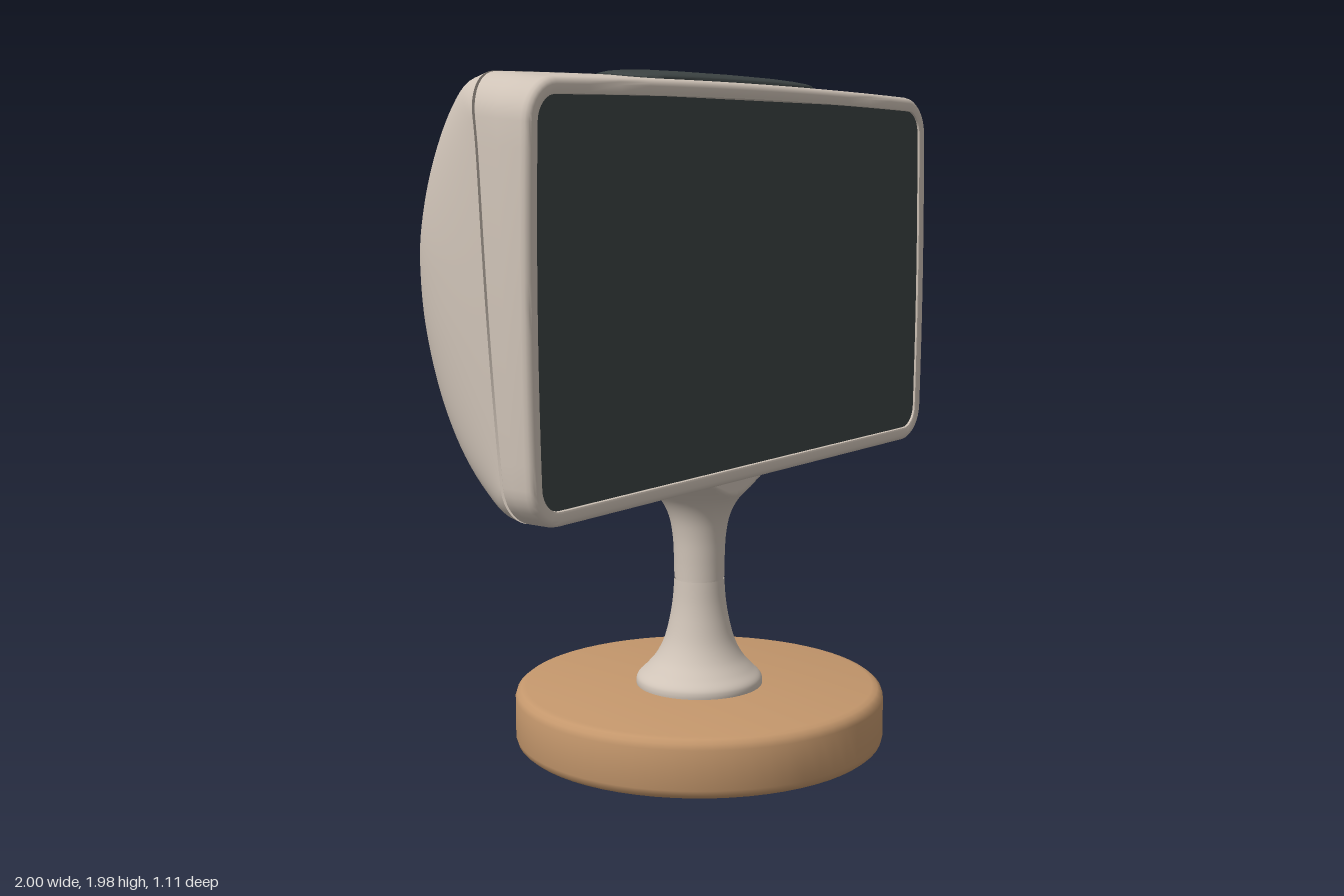
import * as THREE from 'three';
import { toCreasedNormals } from 'three/addons/utils/BufferGeometryUtils.js';

const HX = 0.998, BOTTOM = 0.82, TOP = 1.965;
const MID = (TOP + BOTTOM) / 2, HY = (TOP - BOTTOM) / 2, R = 0.11;

// Rounded rectangle points, anticlockwise, with subdivided straight sides
function roundedRect(hx, hy, r, arc = 8, side = 14) {
  const corners = [[1, 1], [-1, 1], [-1, -1], [1, -1]];
  const pts = [];
  corners.forEach(([sx, sy], q) => {
    for (let k = 0; k <= arc; k++) {
      const a = (q + k / arc) * Math.PI / 2;
      pts.push(new THREE.Vector2(sx * (hx - r) + r * Math.cos(a), sy * (hy - r) + r * Math.sin(a)));
    }
    const [nx, ny] = corners[(q + 1) % 4];
    const a = (q + 1) * Math.PI / 2;
    const end = new THREE.Vector2(nx * (hx - r) + r * Math.cos(a), ny * (hy - r) + r * Math.sin(a));
    const start = pts[pts.length - 1].clone();
    for (let k = 1; k < side; k++) pts.push(start.clone().lerp(end, k / side));
  });
  return pts;
}

// Skin over rows of points
function loft(rows, closed) {
  const n = rows[0].length, index = [];
  for (let i = 0; i < rows.length - 1; i++) {
    for (let j = 0; j < (closed ? n : n - 1); j++) {
      const k = (j + 1) % n;
      const a = i * n + j, b = i * n + k, c = b + n, d = a + n;
      index.push(a, b, c, a, c, d);
    }
  }
  const g = new THREE.BufferGeometry().setFromPoints(rows.flat());
  g.setIndex(index);
  g.computeVertexNormals();
  return g;
}

// Slanted parting line between frame and back shell
function seamZ(y) {
  const t = (y - BOTTOM) / (TOP - BOTTOM);
  return 0.11 - 0.08 * t - 0.03 * Math.pow(Math.max(t, 0), 14);
}

// Gentle barrel of the sides and crown of the top
function place(x, y, z) {
  const v = (y - MID) / HY;
  return new THREE.Vector3(
    x * (1 - 0.014 * v * v),
    BOTTOM + (y - BOTTOM) * (1 - 0.013 * x * x - 0.085 * Math.max(z, 0)),
    z
  );
}

function frameGeometry() {
  // [inset, z]; null z follows the parting line
  const steps = [[0.009, null, 0], [0, null, 0.009], [0, 0.1, 0.5], [0, 0.185], [0.003, 0.196],
    [0.01, 0.203], [0.018, 0.205], [0.036, 0.205], [0.042, 0.203], [0.045, 0.194]];
  const rows = steps.map(([inset, z, extra]) =>
    roundedRect(HX - inset, HY - inset, R - inset).map((p) => {
      const y = p.y + MID, s = seamZ(y);
      let pz = z;
      if (z === null) pz = s + extra;
      else if (extra) pz = s + (0.185 - s) * extra;
      return place(p.x, y, pz);
    }));
  return toCreasedNormals(loft(rows, true), 0.75);
}

function backGeometry() {
  // Side profile as [z, y], bottom to top
  const profile = new THREE.CatmullRomCurve3([
    [0.11, 0.82], [0.04, 0.835], [-0.05, 0.885], [-0.15, 0.97], [-0.24, 1.1], [-0.31, 1.29],
    [-0.33, 1.44], [-0.325, 1.55], [-0.28, 1.7], [-0.2, 1.84], [-0.1, 1.935], [0, 1.965],
  ].map(([z, y]) => new THREE.Vector3(0, y, z))).getSpacedPoints(56);
  const rows = [], N = 80;
  for (let i = 0; i <= N; i++) {
    const u = Math.sin((i / N - 0.5) * Math.PI);
    const x = u * HX;
    const depth = Math.pow(Math.max(0, 1 - Math.pow(Math.abs(u), 10)), 0.56);
    const over = Math.max(0, Math.abs(x) - (HX - R));
    const h = HY - R + Math.sqrt(Math.max(0, R * R - over * over));
    rows.push(profile.map((p) => {
      const y = MID + (p.y - MID) * h / HY;
      return place(x, y, seamZ(y) + (p.z - seamZ(p.y)) * depth);
    }));
  }
  return loft(rows, false);
}

// Domed strip following the crown of the housing
function sensorGeometry() {
  const steps = [[1, -0.012], [1, 0.003], [0.985, 0.007], [0.93, 0.011], [0.8, 0.015],
    [0.6, 0.018], [0.3, 0.019], [0, 0.019]];
  const outline = roundedRect(0.435, 0.117, 0.07);
  const rows = steps.map(([s, lift]) => outline.map((p) => {
    const x = p.x * s, z = 0.028 - p.y * s;
    const y = z > 0 ? TOP - 0.1 * z : TOP - 3 * z * z;
    return new THREE.Vector3(x, y - 0.014 * x * x + lift, z);
  }));
  return toCreasedNormals(loft(rows, true), 0.9);
}

function lathe(points, smooth) {
  const pts = points.map(([r, y]) => new THREE.Vector2(r, y));
  const path = smooth ? new THREE.SplineCurve(pts).getPoints(points.length * 5) : pts;
  path.forEach((p) => { p.x = Math.max(0, p.x); });
  return new THREE.LatheGeometry(path, 64);
}

export function createModel() {
  const group = new THREE.Group();
  const material = (name, color, side = THREE.FrontSide) => {
    const m = new THREE.MeshStandardMaterial({ color, side });
    m.name = name;
    return m;
  };
  const shell = material('warm grey plastic', 0xd0c4b8, THREE.DoubleSide);
  const dark = material('dark glass', 0x3c4343, THREE.DoubleSide);
  const wood = material('light wood', 0xc4976c);
  const add = (name, geometry, mat) => {
    const mesh = new THREE.Mesh(geometry, mat);
    mesh.name = name;
    group.add(mesh);
    return mesh;
  };

  // Display housing
  add('frontFrame', frameGeometry(), shell);
  add('backShell', backGeometry(), shell);
  add('topSensor', sensorGeometry(), dark);

  // Screen panel tucked behind the frame lip
  const screen = new THREE.ShapeGeometry(new THREE.Shape(roundedRect(0.956, 0.519, 0.06)));
  add('screen', screen, dark).position.set(0, 1.381, 0.197);

  // Upper neck swelling into the rear hinge bulge, flattened at the front
  const neck = lathe([[0.075, 0.502], [0.076, 0.56], [0.08, 0.63], [0.092, 0.69], [0.118, 0.74],
    [0.162, 0.785], [0.21, 0.825], [0.248, 0.875], [0.264, 0.94], [0.266, 1.03], [0.262, 1.12],
    [0.24, 1.2], [0.15, 1.27], [0, 1.29]], true);
  const pos = neck.attributes.position;
  for (let i = 0; i < pos.count; i++) pos.setZ(i, Math.min(pos.getZ(i), 0.14));
  neck.computeVertexNormals();
  add('upperNeck', neck, shell);

  // Lower neck with flared foot
  add('neckJoint', new THREE.CylinderGeometry(0.071, 0.071, 0.03, 48), shell).position.y = 0.5;
  add('lowerNeck', lathe([[0.188, 0.165], [0.19, 0.185], [0.184, 0.202], [0.16, 0.226],
    [0.13, 0.262], [0.106, 0.31], [0.09, 0.37], [0.08, 0.43], [0.075, 0.497]], true), shell);

  // Round wooden base with softened rims
  const base = lathe([[0, 0], [0.52, 0], [0.536, 0.004], [0.548, 0.014], [0.553, 0.03],
    [0.553, 0.145], [0.548, 0.161], [0.536, 0.171], [0.52, 0.175], [0, 0.175]], false);
  add('base', toCreasedNormals(base, 0.6), wood);

  return group;
}
